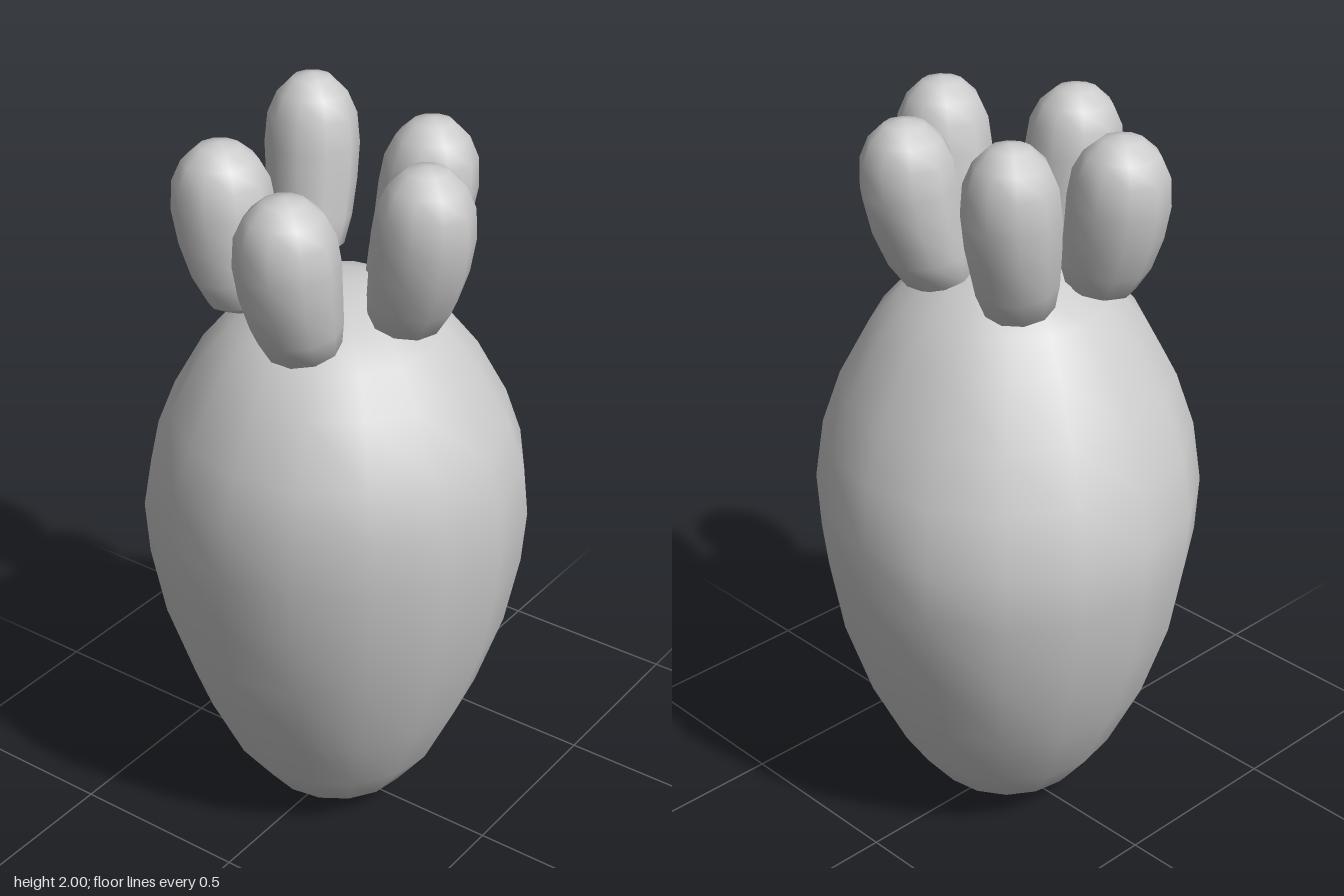
import * as THREE from 'three';
import { mergeVertices } from 'three/addons/utils/BufferGeometryUtils.js';

const material = new THREE.MeshStandardMaterial({ color: 0xcccccc });

// Smooth lathe whose vertices are then moved by a rule
function bentLathe(profile, sides, move) {
  let geo = new THREE.LatheGeometry(profile.map(([r, y]) => new THREE.Vector2(r, y)), sides);
  geo.deleteAttribute('uv');
  geo.deleteAttribute('normal');
  geo = mergeVertices(geo, 1e-4);
  const pos = geo.attributes.position;
  const v = new THREE.Vector3();
  for (let i = 0; i < pos.count; i++) {
    move(v.fromBufferAttribute(pos, i));
    pos.setXYZ(i, v.x, v.y, v.z);
  }
  geo.computeVertexNormals();
  return geo;
}

// Root body: pointed base, slightly oval along the x/-z diagonal,
// with the shoulder leaning one way and the lower belly the other
function makeRoot() {
  const profile = [
    [0, 0], [0.218, 0.07], [0.312, 0.19], [0.408, 0.385], [0.482, 0.6], [0.52, 0.8],
    [0.53, 0.95], [0.508, 1.1], [0.458, 1.235], [0.373, 1.385], [0.292, 1.475],
    [0.2, 1.537], [0.1, 1.57], [0, 1.58],
  ];
  const waist = 0.95;
  const geo = bentLathe(profile, 16, (p) => {
    const lean = p.y < waist
      ? 0.014 * Math.sin(Math.PI * p.y / waist)
      : -0.05 * Math.sin(Math.PI * (p.y - waist) / 0.78);
    const along = (p.x - p.z) * Math.SQRT1_2 * 1.03 + lean;
    const across = (p.x + p.z) * Math.SQRT1_2 * 0.965;
    p.x = (across + along) * Math.SQRT1_2;
    p.z = (across - along) * Math.SQRT1_2;
  });
  const mesh = new THREE.Mesh(geo, material);
  mesh.name = 'root';
  return mesh;
}

// Plump leaf stub that sets off outward from its base and curves upright
const leafProfile = [
  [0, 0], [0.06, 0.004], [0.092, 0.05], [0.11, 0.2], [0.121, 0.4], [0.126, 0.6],
  [0.118, 0.77], [0.093, 0.89], [0.052, 0.975], [0, 1],
];

function makeLeaf({ base, tip, bottom, top, size }) {
  const dx = tip[0] - base[0];
  const dz = tip[1] - base[1];
  const len = Math.hypot(dx, dz);
  const geo = bentLathe(leafProfile, 10, (p) => {
    const t = p.y;
    const bend = 1 - Math.pow(1 - t, 2.6);
    const outward = (p.x * dx + p.z * dz) / len;
    p.y = bottom + t * (top - bottom) - 0.2 * outward * (1 - t);
    p.x = p.x * size + base[0] + dx * bend;
    p.z = p.z * size + base[1] + dz * bend;
  });
  const mesh = new THREE.Mesh(geo, material);
  mesh.name = 'leaf';
  return mesh;
}

// Base and tip are [x, z]
const leaves = [
  { base: [-0.03, 0.223], tip: [-0.068, 0.312], bottom: 1.515, top: 1.97, size: 1.01 },
  { base: [0.12, 0.105], tip: [0.212, 0.142], bottom: 1.52, top: 1.965, size: 1 },
  { base: [-0.265, 0.1], tip: [-0.345, 0.1], bottom: 1.5, top: 1.935, size: 1.03 },
  { base: [-0.15, -0.165], tip: [-0.157, -0.24], bottom: 1.505, top: 1.93, size: 1.04 },
  { base: [0.143, -0.19], tip: [0.214, -0.23], bottom: 1.535, top: 2.0, size: 0.98 },
];

export function createModel() {
  const model = new THREE.Group();
  model.name = 'rootVegetable';
  model.add(makeRoot());
  const crown = new THREE.Group();
  crown.name = 'leafCrown';
  leaves.forEach((leaf) => crown.add(makeLeaf(leaf)));
  model.add(crown);
  return model;
}
